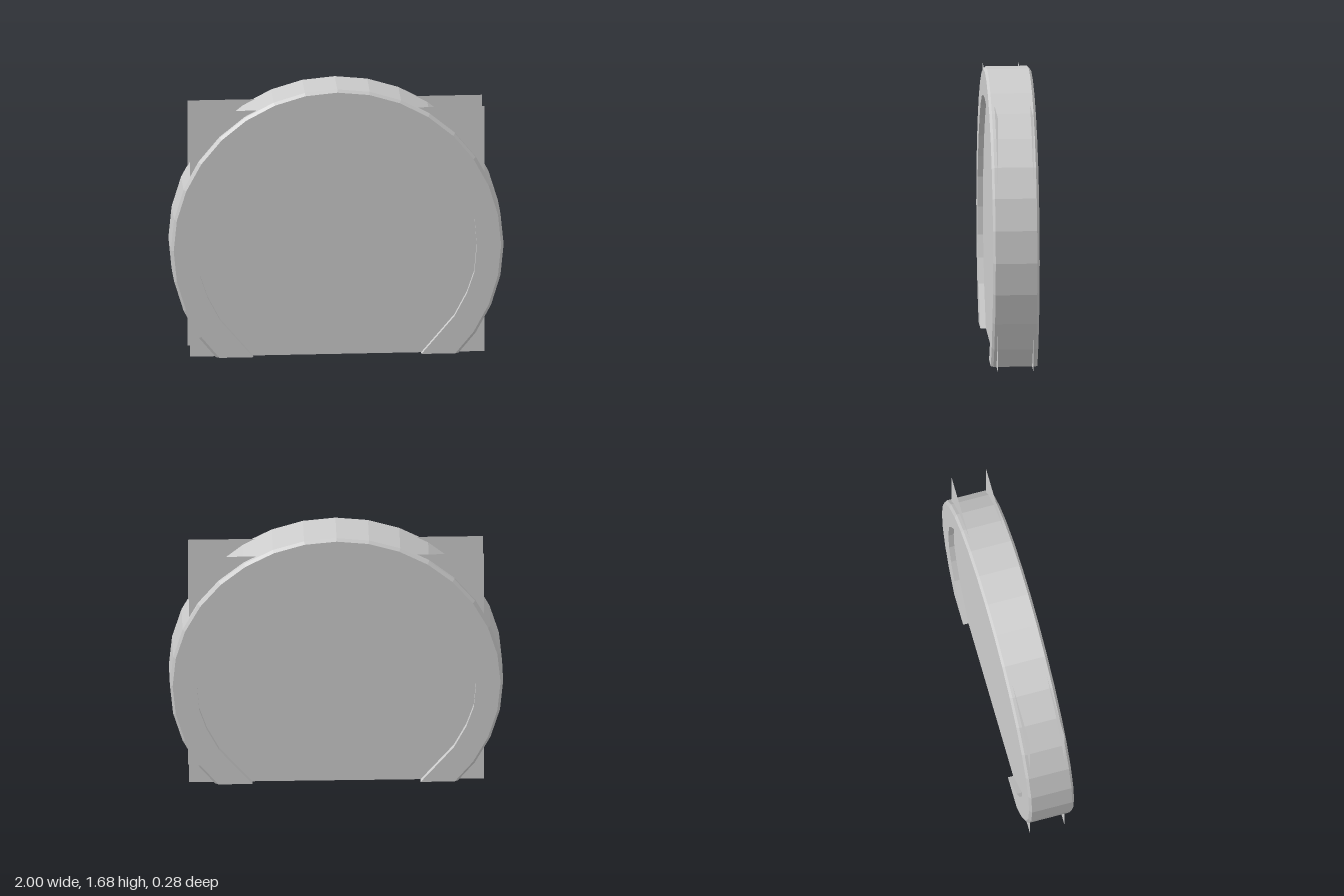
import * as THREE from 'three';

const CY = 0.68;          // height of the ring centre
const HALF = 0.14;        // half depth of the ring
const BEVEL_Z = 0.125;    // where the bevel begins
const BEVEL_R = 0.984;    // radius at the front edge of the bevel

// inner outline of the ring, from the top down to the floor
const INNER = [
  [0, 1.503], [0.194, 1.487], [0.345, 1.45], [0.485, 1.372], [0.6, 1.267], [0.704, 1.139],
  [0.777, 1.0], [0.824, 0.865], [0.838, 0.68], [0.824, 0.513], [0.779, 0.38], [0.704, 0.236], [0.505, 0],
];

// point k of a 32-sided circle, the last one cut off at the floor
function outer(r, k) {
  const at = (i) => {
    const a = (i * Math.PI) / 16;
    return [r * Math.sin(a), CY + r * Math.cos(a)];
  };
  if (k < 12) return at(k);
  const [x0, y0] = at(11), [x1, y1] = at(12);
  return [x0 + ((x1 - x0) * y0) / (y0 - y1), 0];
}

// bevelled cross-section of the ring at station k (-12 to 12)
function section(k) {
  const i = Math.abs(k), s = Math.sign(k);
  const p = INNER[i], e = outer(BEVEL_R, i), o = outer(1, i);
  return [[p, -HALF], [p, HALF], [e, HALF], [o, BEVEL_Z], [o, -BEVEL_Z], [e, -HALF]]
    .map(([q, z]) => [s * q[0], q[1], z]);
}

function ringGeometry() {
  const pos = [];
  const tri = (a, b, c) => pos.push(...a, ...b, ...c);
  for (let k = -12; k < 12; k++) {
    const A = section(k), B = section(k + 1);
    for (let j = 0; j < 6; j++) {
      const n = (j + 1) % 6;
      tri(A[j], A[n], B[n]);
      tri(A[j], B[n], B[j]);
    }
  }
  // flat feet on the floor
  const L = section(-12), R = section(12);
  for (let j = 1; j < 5; j++) {
    tri(L[0], L[j + 1], L[j]);
    tri(R[0], R[j], R[j + 1]);
  }
  const g = new THREE.BufferGeometry();
  g.setAttribute('position', new THREE.Float32BufferAttribute(pos, 3));
  g.computeVertexNormals();
  return g;
}

export function createModel() {
  const model = new THREE.Group();
  const mat = new THREE.MeshStandardMaterial({ color: 0xcccccc, flatShading: true, side: THREE.DoubleSide });
  const add = (name, geo, x = 0, y = 0, z = 0) => {
    const m = new THREE.Mesh(geo, mat);
    m.name = name;
    m.position.set(x, y, z);
    model.add(m);
    return m;
  };

  add('ringFrame', ringGeometry());

  // thin panels filling the opening, front and back
  const W = 1.77, H = 1.55, Z = 0.107;
  add('frontPanel', new THREE.PlaneGeometry(W, H), 0, H / 2, Z);
  add('backPanel', new THREE.PlaneGeometry(W, H), 0, H / 2, -Z).rotation.y = Math.PI;

  // upright divider between the panels
  add('centreDivider', new THREE.PlaneGeometry(2 * Z, H), 0, H / 2, 0).rotation.y = Math.PI / 2;

  return model;
}
